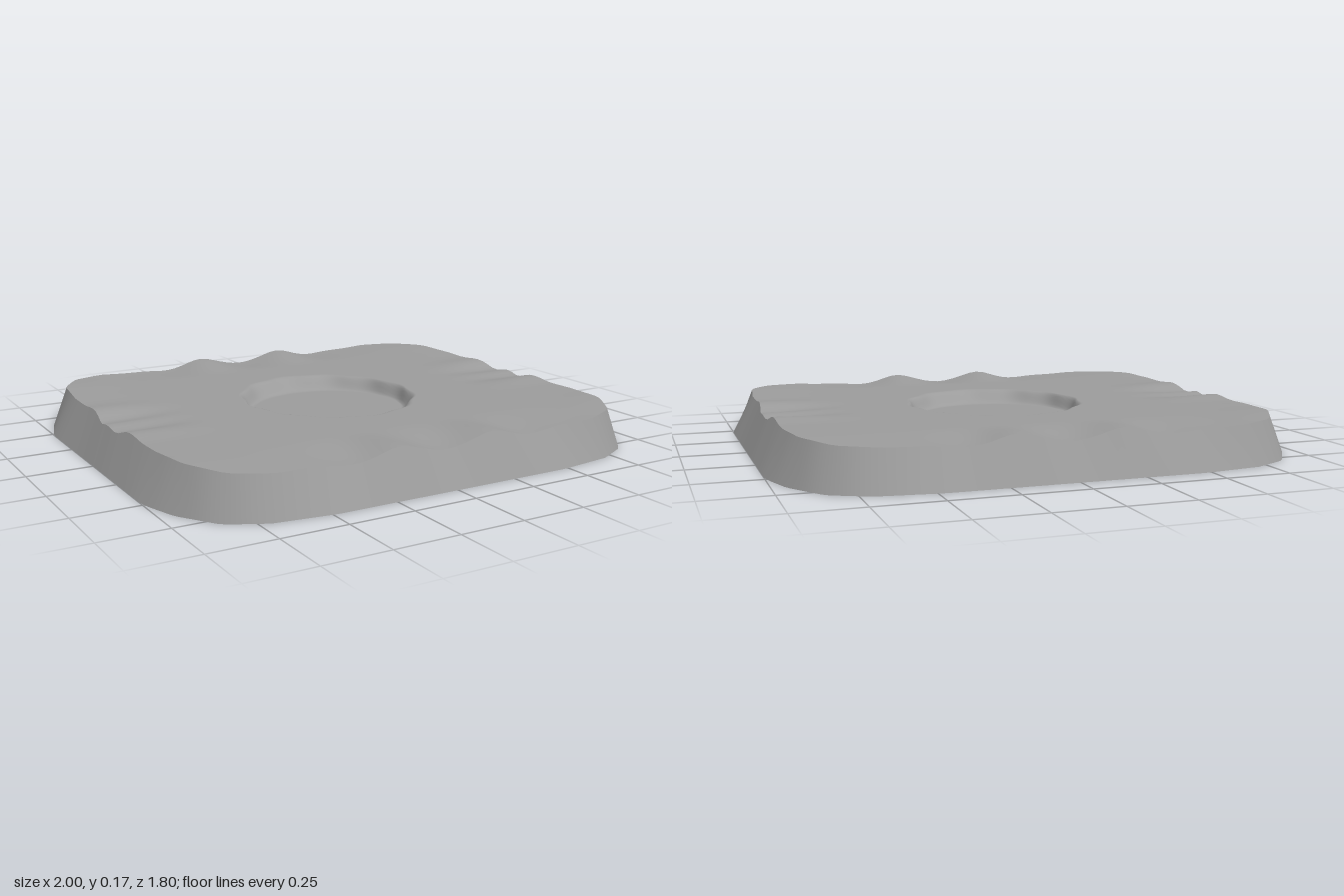
import * as THREE from 'three';

const SEG = 192;
const bump = (v, centre, width) => Math.exp(-(((v - centre) / width) ** 2));
const smooth = THREE.MathUtils.smoothstep;

// Height of the ground: flat middle, ripples along the four edges, sunken round pit
function groundHeight(x, z) {
  const ax = Math.abs(x), az = Math.abs(z), r = Math.hypot(x, z);
  const endRipple = -0.02 * bump(ax, 0, 0.1) + 0.02 * bump(ax, 0.2, 0.08) -
    0.016 * bump(ax, 0.37, 0.1) - 0.006 * bump(ax, 0.55, 0.12);
  const sideRipple = -0.014 * bump(az, 0.08, 0.05) + 0.013 * bump(az, 0.2, 0.08) +
    0.004 * bump(az, 0.4, 0.12) + 0.01 * bump(az, 0.62, 0.16);
  const h = 0.15 + endRipple * smooth(az, 0.55, 0.83) + sideRipple * smooth(ax, 0.55, 0.92);
  // The pit wall is steep at the sides, wider toward front and back, with a wavy rim
  const a = Math.atan2(z, x), s = Math.sin(a) ** 2;
  const floor = 0.315 - 0.03 * s;
  const rim = 0.35 + 0.025 * s * s + 0.007 * Math.cos(12 * a);
  return h - 0.055 * (1 - smooth(r, floor, rim));
}

// Rounded base outline, one quarter mirrored to all four
function baseOutline() {
  const q = [[1, 0], [1, 0.48], [0.985, 0.54], [0.95, 0.65], [0.85, 0.8], [0.71, 0.87], [0.48, 0.9], [0, 0.9]];
  const half = [...q, ...q.slice(0, -1).reverse().map(([x, z]) => [-x, z])];
  const full = [...half, ...half.slice(1, -1).reverse().map(([x, z]) => [x, -z])];
  const pts = full.map(([x, z]) => new THREE.Vector2(x, z));
  pts.push(pts[0].clone());
  return new THREE.Shape(pts).getSpacedPoints(SEG).slice(0, SEG);
}

// Surface through closed rings, listed from the inside out and down
function loft(rings) {
  const pos = rings.flat(2), index = [];
  for (let i = 0; i < rings.length - 1; i++) {
    for (let j = 0; j < SEG; j++) {
      const a = i * SEG + j, b = i * SEG + (j + 1) % SEG, c = a + SEG, d = b + SEG;
      index.push(a, b, c, b, d, c);
    }
  }
  const geo = new THREE.BufferGeometry();
  geo.setAttribute('position', new THREE.Float32BufferAttribute(pos, 3));
  geo.setIndex(index);
  geo.computeVertexNormals();
  return geo;
}

// Average normals along each ring so the angular outline shades as one soft band
function softenNormals(geo, reach) {
  const old = geo.attributes.normal.clone(), n = new THREE.Vector3(), sum = new THREE.Vector3();
  for (let i = 0; i < old.count; i++) {
    const ring = i - (i % SEG);
    sum.set(0, 0, 0);
    for (let k = -reach; k <= reach; k++) {
      sum.add(n.fromBufferAttribute(old, ring + (i - ring + k + SEG) % SEG));
    }
    sum.normalize();
    geo.attributes.normal.setXYZ(i, sum.x, sum.y, sum.z);
  }
  return geo;
}

export function createModel() {
  const group = new THREE.Group();
  group.name = 'groundTile';
  const material = new THREE.MeshStandardMaterial({ color: 0x9b9b9b, side: THREE.DoubleSide });
  const add = (name, geo) => {
    const mesh = new THREE.Mesh(geo, material);
    mesh.name = name;
    group.add(mesh);
  };

  const base = baseOutline();
  // Upper rim leans inward, less at the corners and the middle of each side
  const edge = base.map((p) => {
    const corner = smooth(Math.abs(p.x * p.y), 0.48, 0.68);
    return p.clone().multiplyScalar(0.921 + 0.034 * corner + 0.018 * bump(p.y, 0, 0.14));
  });
  const onGround = (p) => [p.x, groundHeight(p.x, p.y), p.y];
  const circle = (r) => edge.map((p) => onGround(p.clone().setLength(r)));

  // Top: circles around the pit, then rings blending out to the rounded edge
  const rings = [0.001, 0.15, 0.27].map(circle);
  for (let r = 0.28; r < 0.4; r += 0.007) rings.push(circle(r));
  for (let i = 0; i <= 24; i++) {
    rings.push(edge.map((p) => onGround(p.clone().setLength(0.41).lerp(p, i / 24))));
  }
  add('groundSurface', loft(rings));

  // Sloping outer wall, open underneath
  add('outerWall', softenNormals(loft([edge.map(onGround), base.map((p) => [p.x, 0, p.y])]), 3));
  return group;
}
